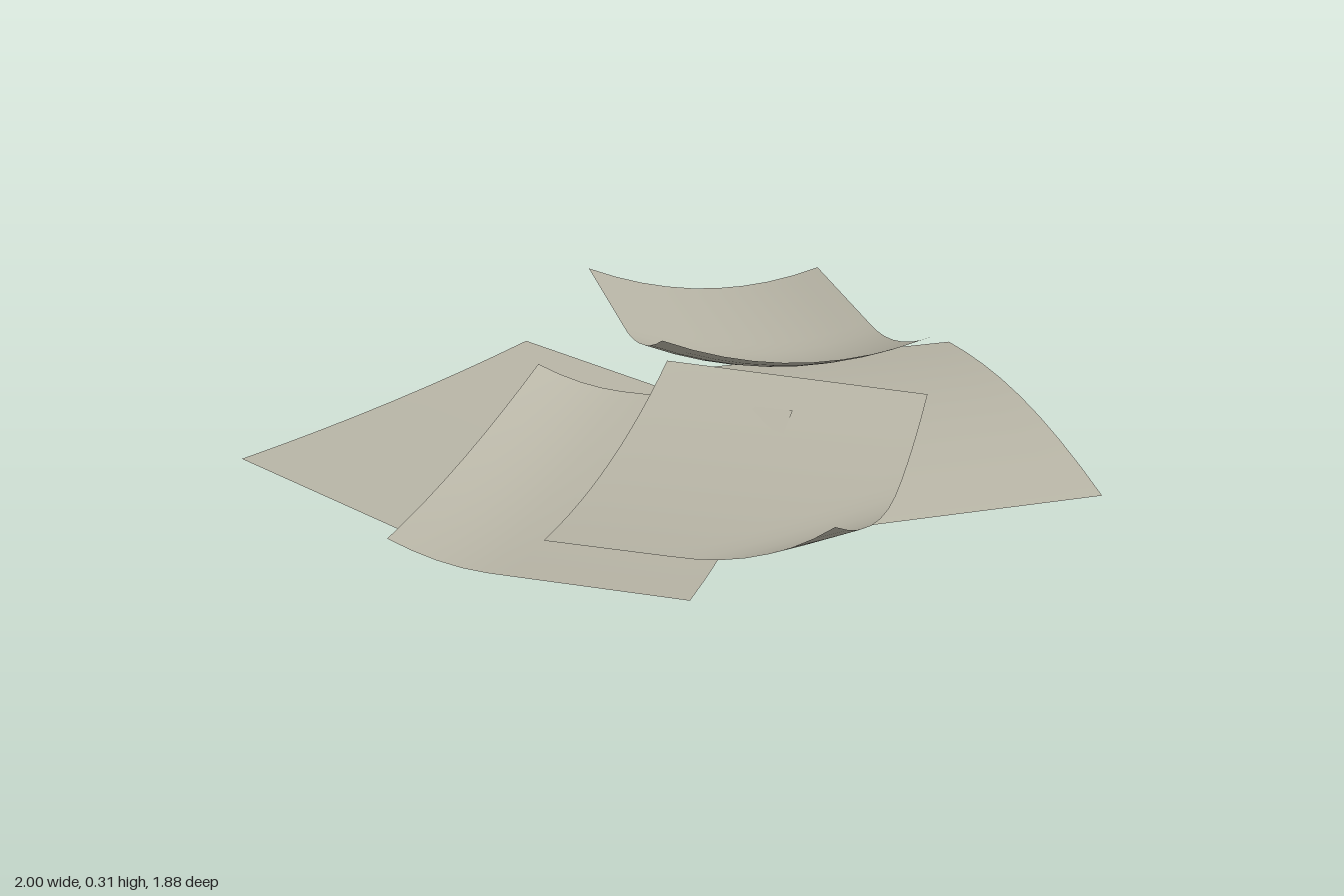
import * as THREE from 'three';

const paper = new THREE.MeshStandardMaterial({ color: 0xb8b5a6, side: THREE.DoubleSide });
paper.name = 'paper';

// A curved sheet: back-left corner, vector across (u), vector along (v),
// and a bend rule (u, v) -> [dx, y, dz].
function sheet(name, corner, across, along, bend, nu = 8, nv = 8) {
  const pos = [], index = [];
  for (let j = 0; j <= nv; j++) {
    for (let i = 0; i <= nu; i++) {
      const u = i / nu, v = j / nv;
      const [dx, y, dz] = bend(u, v);
      pos.push(
        corner[0] + across[0] * u + along[0] * v + dx,
        y,
        corner[1] + across[1] * u + along[1] * v + dz
      );
      if (i < nu && j < nv) {
        const a = j * (nu + 1) + i, b = a + 1, c = a + nu + 1, d = c + 1;
        index.push(a, c, b, b, c, d);
      }
    }
  }
  const geo = new THREE.BufferGeometry();
  geo.setAttribute('position', new THREE.Float32BufferAttribute(pos, 3));
  geo.setIndex(index);
  geo.computeVertexNormals();
  const mesh = new THREE.Mesh(geo, paper);
  mesh.name = name;
  return mesh;
}

// 1 at both ends of a sheet, 0 in its middle
const ends = (t) => (2 * t - 1) ** 2;
// smooth rise from 0 at t = start to 1 at t = 1
const rise = (t, start, power = 2) => Math.max(0, (t - start) / (1 - start)) ** power;

export function createModel() {
  const group = new THREE.Group();
  group.name = 'scatteredPapers';

  // Nearly flat sheet on the ground
  group.add(sheet('leftSheet', [-0.59, -0.41], [0.61, 0.285], [-0.41, 0.87],
    (u, v) => [0, 0.002 + 0.013 * ends(v), 0]));

  // Sheet arched along its length, ends on the ground
  group.add(sheet('rightSheet', [-0.06, -0.405], [0.58, -0.335], [0.48, 0.83],
    (u, v) => [0, 0.045 * Math.sin(Math.PI * v) ** 0.9, 0]));

  // Sheet with its left edge curled up and both ends lifted
  group.add(sheet('frontSheet', [-0.43, -0.02], [0.67, 0], [0, 0.955],
    (u, v) => [
      0.015 * ends(v) * (1 - u),
      0.04 + 0.038 * ends(v) + 0.05 * rise(1 - u, 0.65),
      0
    ], 12, 8));

  // Sheet with one front corner bent up
  group.add(sheet('curledCornerSheet', [-0.12, -0.165], [0.667, -0.005], [0, 0.96],
    (u, v) => {
      const c = rise((u + v) / 2, 0.725);
      const y = 0.047 + 0.045 * ends(v) + 0.018 * (1 - u) * (1 - v) + 0.1 * c;
      return [-0.047 * c + 0.006 * (1 - ends(v)) * u, y, -0.03 * c];
    }, 12, 12));

  // Top sheet: trough across its width, front end swept up
  group.add(sheet('topSheet', [-0.48, -0.635], [0.587, -0.306], [0.445, 0.807],
    (u, v) => {
      const trough = u < 0.6 ? 0.09 * ((0.6 - u) / 0.6) ** 2 : 0.04 * ((u - 0.6) / 0.4) ** 2;
      return [0, 0.065 + 0.025 * v + trough + 0.13 * rise(v, 0.55, 1.7), 0];
    }, 9, 14));

  return group;
}
